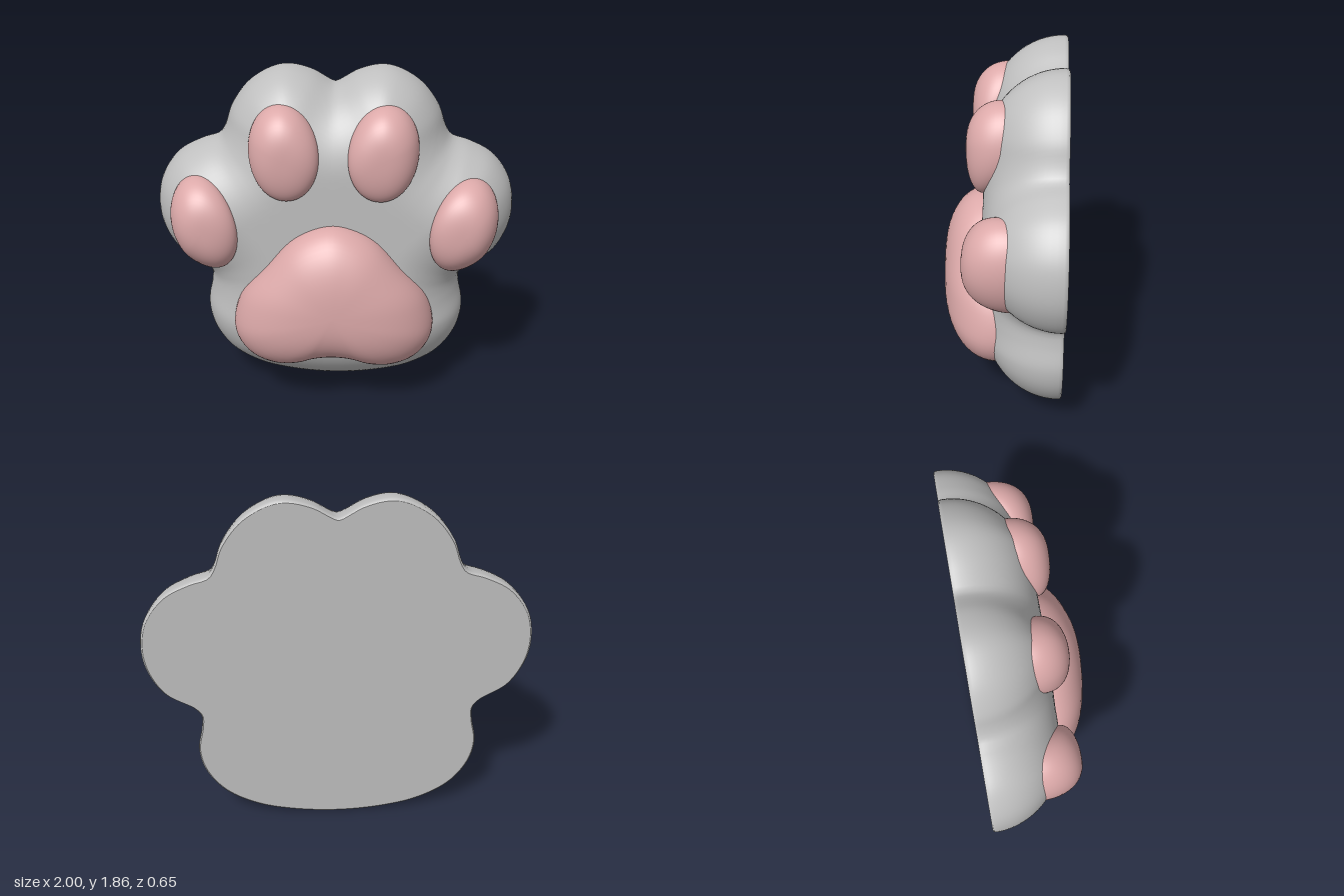
import * as THREE from 'three';

const V = (x, y) => new THREE.Vector2(x, y);

// Closed smooth outline from its right half (bottom centre to top centre), mirrored, counter-clockwise
function outline(half, count) {
  const pts = half.map(([x, y]) => new THREE.Vector3(x, y, 0));
  for (let i = half.length - 2; i > 0; i--) pts.push(new THREE.Vector3(-half[i][0], half[i][1], 0));
  const curve = new THREE.CatmullRomCurve3(pts, true, 'centripetal');
  return curve.getSpacedPoints(count).slice(0, count).map(p => V(p.x, p.y));
}

// Tilted oval outline, counter-clockwise
function oval(cx, cy, rx, ry, tilt, count) {
  const c = V(cx, cy);
  return Array.from({ length: count }, (_, i) => {
    const a = (i / count) * Math.PI * 2;
    return V(cx + rx * Math.cos(a), cy + ry * Math.sin(a)).rotateAround(c, tilt);
  });
}

// Smooth skin over rings of points, from the centre outwards
function skin(rings) {
  const n = rings[0].length, pos = [], idx = [];
  rings.forEach(r => r.forEach(p => pos.push(p.x, p.y, p.z)));
  for (let i = 0; i < rings.length - 1; i++) {
    for (let j = 0; j < n; j++) {
      const k = (j + 1) % n;
      const a = i * n + j, b = a + n, c = (i + 1) * n + k, d = i * n + k;
      idx.push(a, b, c);
      if (i > 0) idx.push(a, c, d);
    }
  }
  const g = new THREE.BufferGeometry();
  g.setAttribute('position', new THREE.Float32BufferAttribute(pos, 3));
  g.setIndex(idx);
  g.computeVertexNormals();
  return g;
}

const PAW = [
  [0, 0], [0.25, 0.02], [0.45, 0.07], [0.62, 0.17], [0.72, 0.31], [0.75, 0.45], [0.725, 0.59],
  [0.722, 0.67], [0.755, 0.715], [0.9, 0.81], [0.98, 0.95], [1, 1.085], [0.97, 1.235], [0.87, 1.37],
  [0.74, 1.44], [0.64, 1.475], [0.605, 1.53], [0.567, 1.636], [0.47, 1.765], [0.337, 1.845],
  [0.246, 1.86], [0.123, 1.83], [0.043, 1.785], [0, 1.765],
];
const PALM = [
  [0, 0.3], [0.12, 0.285], [0.22, 0.25], [0.33, 0.24], [0.45, 0.28], [0.53, 0.37], [0.557, 0.48],
  [0.51, 0.65], [0.365, 0.83], [0.23, 0.985], [0.12, 1.05], [0, 1.078],
];
const BACK = -0.327, RIM = 0.02, ROUND = 0.43, RISE = 0.4;

export function createModel() {
  const fur = new THREE.MeshStandardMaterial({ color: 0xbfbfbf });
  fur.name = 'grey';
  const pink = new THREE.MeshStandardMaterial({ color: 0xdca9a9 });
  pink.name = 'pink';

  const group = new THREE.Group();
  group.name = 'paw';
  const add = (name, geometry, material) => {
    const mesh = new THREE.Mesh(geometry, material);
    mesh.name = name;
    group.add(mesh);
    return mesh;
  };

  const edge = outline(PAW, 240);

  // Height of the body front, rounded by the distance to its edge
  const bodyZ = p => {
    let best = Infinity;
    edge.forEach((a, i) => {
      const b = edge[(i + 1) % edge.length];
      const dx = b.x - a.x, dy = b.y - a.y;
      const t = THREE.MathUtils.clamp(((p.x - a.x) * dx + (p.y - a.y) * dy) / (dx * dx + dy * dy), 0, 1);
      best = Math.min(best, Math.hypot(p.x - a.x - t * dx, p.y - a.y - t * dy));
    });
    const u = 1 - Math.min(best / ROUND, 1);
    return BACK + RIM + RISE * Math.sqrt(1 - u * u);
  };

  // Body: domed front with lobes, and a narrow rounded rim at the back
  const mid = V(0, 0.9), rings = [], steps = 28;
  for (let i = 0; i <= steps; i++) {
    const s = Math.sin((i / steps) * Math.PI / 2);
    rings.push(edge.map(e => {
      const p = mid.clone().lerp(e, s);
      return new THREE.Vector3(p.x, p.y, i === steps ? BACK + RIM : bodyZ(p));
    }));
  }
  const inset = edge.map(e => mid.clone().lerp(e, 0.988));
  rings.push(edge.map(e => {
    const p = mid.clone().lerp(e, 0.997);
    return new THREE.Vector3(p.x, p.y, BACK + 0.006);
  }));
  rings.push(inset.map(p => new THREE.Vector3(p.x, p.y, BACK)));
  add('body', skin(rings), fur);

  // Flat back
  const back = add('back', new THREE.ShapeGeometry(new THREE.Shape(inset)), fur);
  back.rotation.y = Math.PI;
  back.position.z = BACK;

  // Pads: domes whose edge lies on the body, with a skirt sunk into it
  const pad = (name, points, centre, top) => {
    const base = points.map(bodyZ), padRings = [], n = 16;
    for (let i = 0; i <= n; i++) {
      const s = Math.sin((i / n) * Math.PI / 2);
      const dome = Math.sqrt(Math.max(0, 1 - Math.pow(s, 2.5)));
      padRings.push(points.map((e, j) => {
        const p = centre.clone().lerp(e, s);
        return new THREE.Vector3(p.x, p.y, base[j] + (top - base[j]) * dome);
      }));
    }
    padRings.push(points.map((e, j) => new THREE.Vector3(e.x, e.y, base[j] - 0.05)));
    add(name, skin(padRings), pink);
  };
  pad('palmPad', outline(PALM, 96), V(0, 0.63), 0.327);
  for (const [side, m] of [['left', 1], ['right', -1]]) {
    pad(side + 'InnerToePad', oval(m * 0.262, 1.465, 0.185, 0.247, -m * 0.14, 64), V(m * 0.262, 1.465), 0.178);
    pad(side + 'OuterToePad', oval(m * 0.702, 1.05, 0.182, 0.265, -m * 0.22, 64), V(m * 0.702, 1.05), 0.178);
  }
  return group;
}
